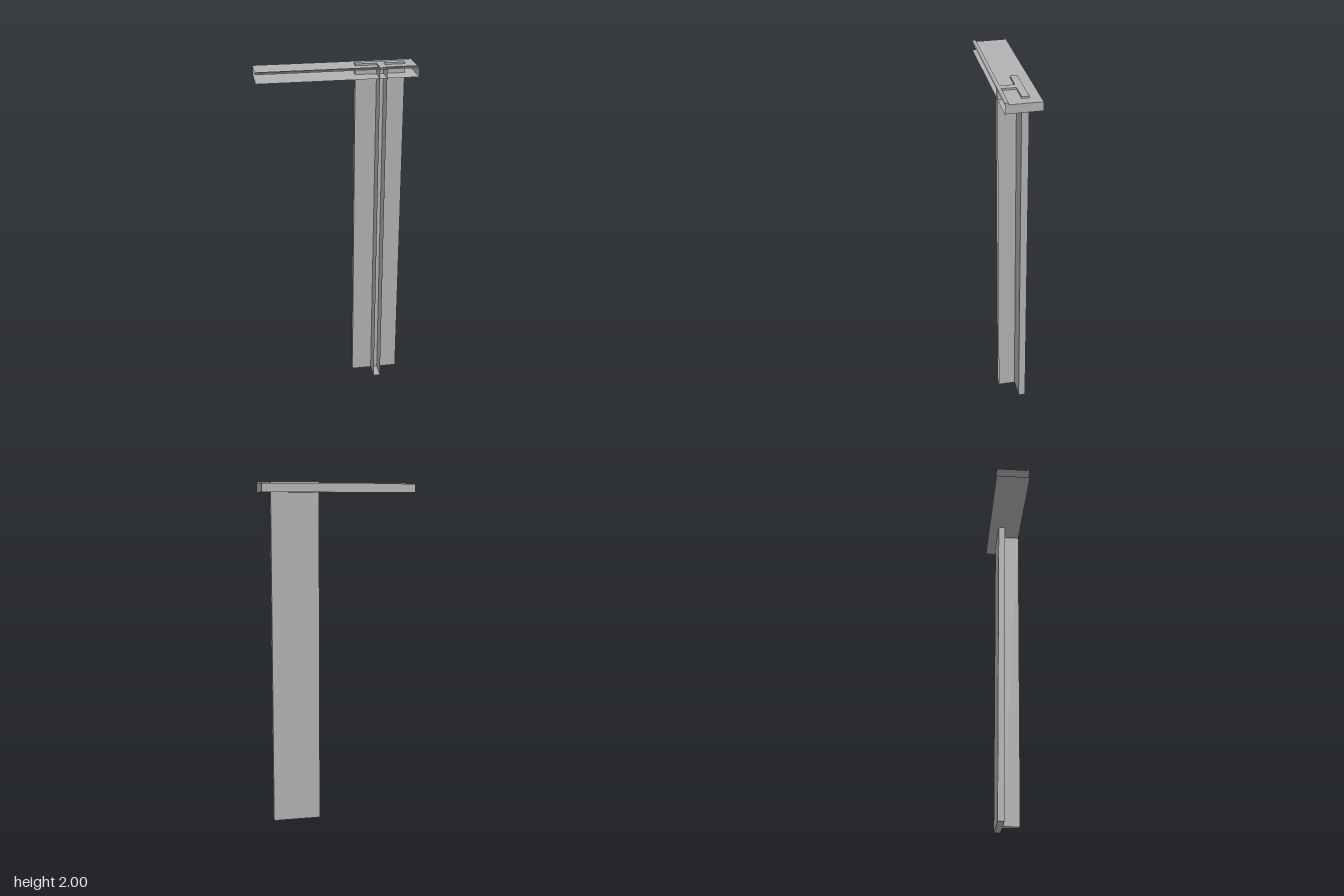
import * as THREE from 'three';

// Side order used by BoxGeometry
const SIDES = ['right', 'left', 'top', 'bottom', 'front', 'back'];

// Box given by its limits, leaving out the listed open sides
function panelBox(name, material, [x0, x1], [y0, y1], [z0, z1], open = []) {
  const geometry = new THREE.BoxGeometry(x1 - x0, y1 - y0, z1 - z0);
  const all = Array.from(geometry.index.array);
  geometry.setIndex(all.filter((_, i) => !open.includes(SIDES[Math.floor(i / 6)])));
  geometry.clearGroups();
  geometry.translate((x0 + x1) / 2, (y0 + y1) / 2, (z0 + z1) / 2);
  const mesh = new THREE.Mesh(geometry, material);
  mesh.name = name;
  return mesh;
}

export function createModel() {
  const model = new THREE.Group();
  model.name = 'postAndShelf';
  const grey = new THREE.MeshStandardMaterial({ color: 0xb2b2b2, side: THREE.DoubleSide });
  grey.name = 'grey';

  // T-section post: broad plate at the back, web open at the front
  const post = new THREE.Group();
  post.name = 'post';
  post.add(
    panelBox('postFlange', grey, [0.11, 0.39], [0, 2], [-0.04, 0]),
    panelBox('postWeb', grey, [0.23, 0.27], [0, 2], [0, 0.1], ['front', 'back']),
  );

  // Hollow top slab, open at the front and at its -x end, with a low front lip
  const slab = new THREE.Group();
  slab.name = 'topSlab';
  slab.add(
    panelBox('slabShell', grey, [-0.45, 0.45], [1.94, 1.99], [-0.1, 0.1], ['front', 'left']),
    panelBox('frontLip', grey, [-0.45, 0.45], [1.99, 2], [0.08, 0.1], ['front', 'left', 'bottom']),
  );

  model.add(post, slab);
  return model;
}
